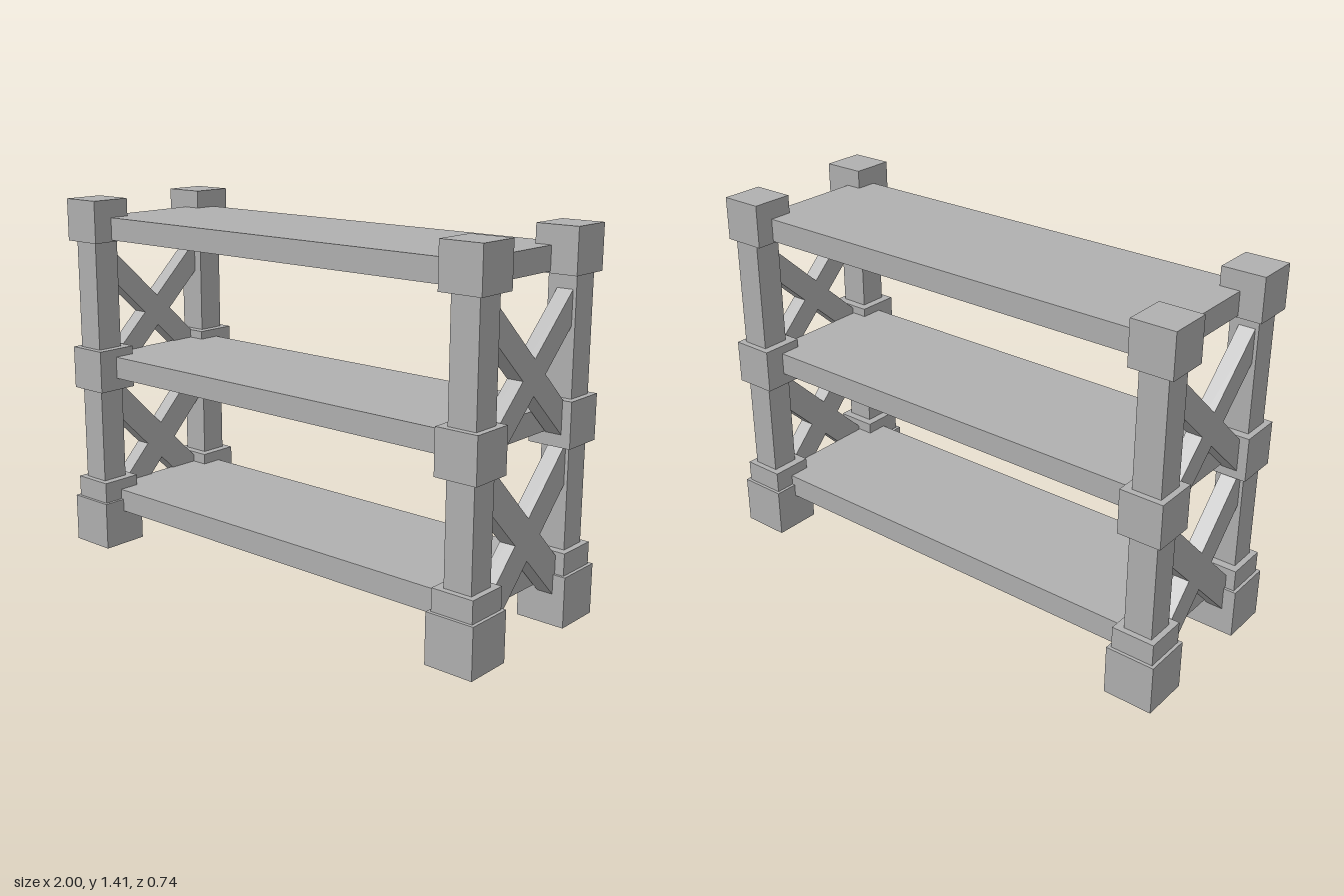
import * as THREE from 'three';

export function createModel() {
  const group = new THREE.Group();
  group.name = 'shelfUnit';
  const grey = new THREE.MeshStandardMaterial({ color: 0xb0b0b0, side: THREE.DoubleSide });
  grey.name = 'plain grey';

  const add = (name, geometry) => {
    const mesh = new THREE.Mesh(geometry, grey);
    mesh.name = name;
    group.add(mesh);
    return mesh;
  };

  // Box hollow from below: the bottom face is left out
  const shell = (name, w, d, y0, y1, x, z) => {
    const geometry = new THREE.BoxGeometry(w, y1 - y0, d);
    const index = Array.from(geometry.index.array);
    index.splice(18, 6);
    geometry.setIndex(index);
    geometry.clearGroups();
    add(name, geometry).position.set(x, (y0 + y1) / 2, z);
  };

  // Three hollow boards
  for (const [y0, y1] of [[0.14, 0.23], [0.7, 0.787], [1.257, 1.345]]) {
    shell('shelf', 1.785, 0.558, y0, y1, -0.007, 0);
  }

  for (const sx of [-1, 1]) {
    // Corner posts with foot, cuffs and cap
    for (const sz of [-1, 1]) {
      const x = sx * 0.905;
      const z = sz * 0.277;
      const capZ = sz > 0 ? 0.278 : -0.269;
      shell('post', 0.11, 0.109, 0.1, 1.33, sx * 0.91, sz * 0.281);
      shell('foot', 0.19, 0.188, 0, 0.19, x, z);
      shell('lowerCuff', 0.165, 0.165, 0.105, 0.273, x, sz * 0.276);
      shell('middleCuff', 0.165, 0.167, 0.652, 0.82, x, sz * 0.276);
      shell('cap', 0.165, 0.165, 1.25, 1.415, x, capZ);
    }

    // Crossed braces at each end
    for (const [y, angle, thick] of [[0.368, 0.785, 0.108], [0.932, 0.748, 0.092]]) {
      for (const tilt of [-1, 1]) {
        const brace = add('crossBrace', new THREE.BoxGeometry(0.062, thick, 0.77));
        brace.position.set(sx * 0.921, y, -0.008);
        brace.rotation.x = tilt * angle;
      }
    }
  }
  return group;
}
